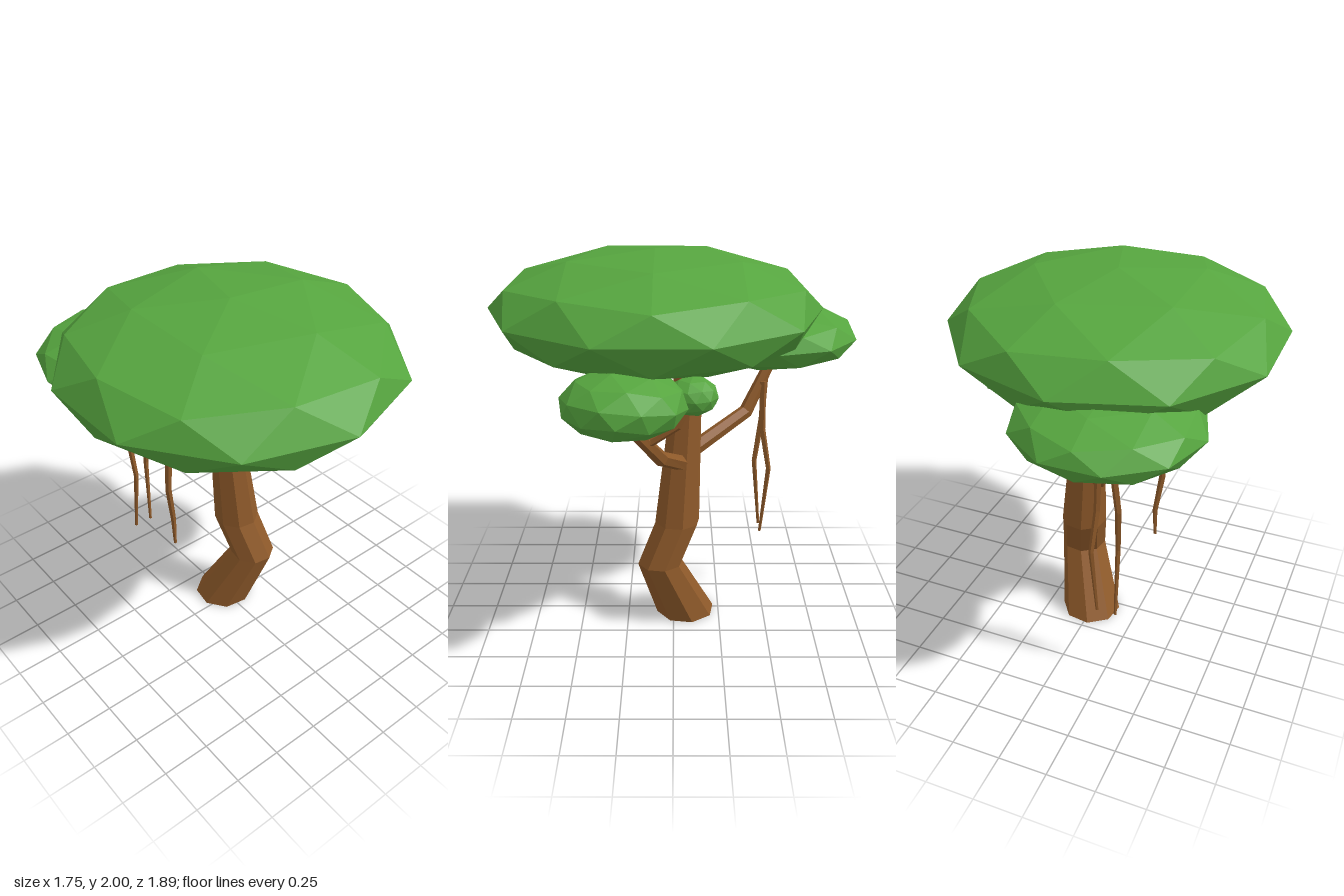
import * as THREE from 'three';

const leafMat = new THREE.MeshStandardMaterial({ color: 0x56a53f, flatShading: true });
const barkMat = new THREE.MeshStandardMaterial({ color: 0x8f5a2a, flatShading: true });
const UP = new THREE.Vector3(0, 1, 0);

// Faceted tapering limb; each station is [x, y, z, radius], listed bottom to top
function limb(name, stations, sides, levelRings = false) {
  const centres = stations.map(([x, y, z]) => new THREE.Vector3(x, y, z));
  const positions = [];
  const index = [];
  const last = stations.length - 1;
  centres.forEach((c, i) => {
    const dir = centres[Math.min(i + 1, last)].clone().sub(centres[Math.max(i - 1, 0)]).normalize();
    const turn = new THREE.Quaternion().setFromUnitVectors(UP, levelRings ? UP : dir);
    for (let k = 0; k < sides; k++) {
      const a = ((k + 0.3) / sides) * Math.PI * 2;
      const p = new THREE.Vector3(Math.cos(a), 0, -Math.sin(a))
        .multiplyScalar(stations[i][3]).applyQuaternion(turn).add(c);
      positions.push(p.x, p.y, p.z);
    }
  });
  for (let i = 0; i < last; i++) {
    for (let k = 0; k < sides; k++) {
      const a = i * sides + k;
      const b = i * sides + ((k + 1) % sides);
      index.push(a, b, b + sides, a, b + sides, a + sides);
    }
  }
  // End caps
  const top = last * sides;
  for (let k = 1; k < sides - 1; k++) {
    index.push(0, k + 1, k, top, top + k, top + k + 1);
  }
  const indexed = new THREE.BufferGeometry();
  indexed.setAttribute('position', new THREE.Float32BufferAttribute(positions, 3));
  indexed.setIndex(index);
  const geometry = indexed.toNonIndexed();
  geometry.computeVertexNormals();
  const mesh = new THREE.Mesh(geometry, barkMat);
  mesh.name = name;
  return mesh;
}

// Flattened low-poly leaf cluster with a corner at its pole
function foliage(name, centre, size, yaw, tilt = [0, 0]) {
  const geometry = new THREE.IcosahedronGeometry(1, 1);
  geometry.rotateZ(Math.atan2(2, 1 + Math.sqrt(5)));
  geometry.rotateY(yaw);
  geometry.rotateX(tilt[0]);
  geometry.rotateZ(tilt[1]);
  geometry.scale(...size);
  geometry.computeVertexNormals();
  const mesh = new THREE.Mesh(geometry, leafMat);
  mesh.position.set(...centre);
  mesh.name = name;
  return mesh;
}

export function createModel() {
  const tree = new THREE.Group();
  tree.name = 'tree';

  // Crooked trunk
  tree.add(limb('trunk', [
    [0.015, 0, -0.065, 0.16],
    [0.117, 0.35, 0.073, 0.12],
    [0.075, 0.575, -0.02, 0.121],
    [0.012, 1.45, -0.08, 0.07],
  ], 8, true));

  // Branches
  tree.add(limb('leftBranch', [
    [0.07, 0.9, -0.06, 0.042], [0.37, 1.05, 0.06, 0.038], [0.57, 1.28, 0.2, 0.03],
  ], 6));
  tree.add(limb('leftTwig', [
    [0.47, 1.16, 0.13, 0.022], [0.48, 1.26, -0.02, 0.022], [0.48, 1.38, -0.08, 0.018],
  ], 6));
  tree.add(limb('backBranch', [
    [0.03, 0.95, -0.08, 0.042], [-0.17, 1.11, -0.39, 0.038], [-0.26, 1.38, -0.53, 0.028],
  ], 6));
  tree.add(limb('rightBranch', [
    [0.02, 1.27, -0.07, 0.042], [-0.2, 1.39, -0.05, 0.038], [-0.35, 1.47, -0.03, 0.03],
  ], 6));

  // Hanging vines, tapering to the lower tip
  const vines = [
    [[-0.342, 0.59, -0.03], [-0.34, 0.75, -0.04], [-0.37, 0.97, -0.03], [-0.345, 1.45, -0.03]],
    [[-0.295, 0.38, -0.49], [-0.293, 0.77, -0.455], [-0.305, 1.02, -0.49], [-0.27, 1.34, -0.5]],
    [[-0.195, 0.38, -0.49], [-0.178, 0.77, -0.525], [-0.193, 1.0, -0.485], [-0.2, 1.27, -0.48]],
  ];
  const vineRadii = [0.008, 0.014, 0.017, 0.019];
  vines.forEach((points, n) => {
    tree.add(limb(`vine${n + 1}`, points.map((p, i) => [...p, vineRadii[i]]), 5));
  });

  // Leaf clusters
  tree.add(foliage('mainCanopy', [-0.065, 1.7, 0.092], [0.852, 0.3, 0.852], Math.PI));
  tree.add(foliage('backCanopy', [-0.26, 1.52, -0.512], [0.461, 0.163, 0.461], -Math.PI / 2));
  tree.add(foliage('leftCanopy', [0.587, 1.407, 0.225], [0.298, 0.157, 0.298], 0, [-0.16, 0.27]));
  tree.add(foliage('smallLeafClump', [0.485, 1.41, -0.09], [0.122, 0.092, 0.122], 0.4));

  return tree;
}
